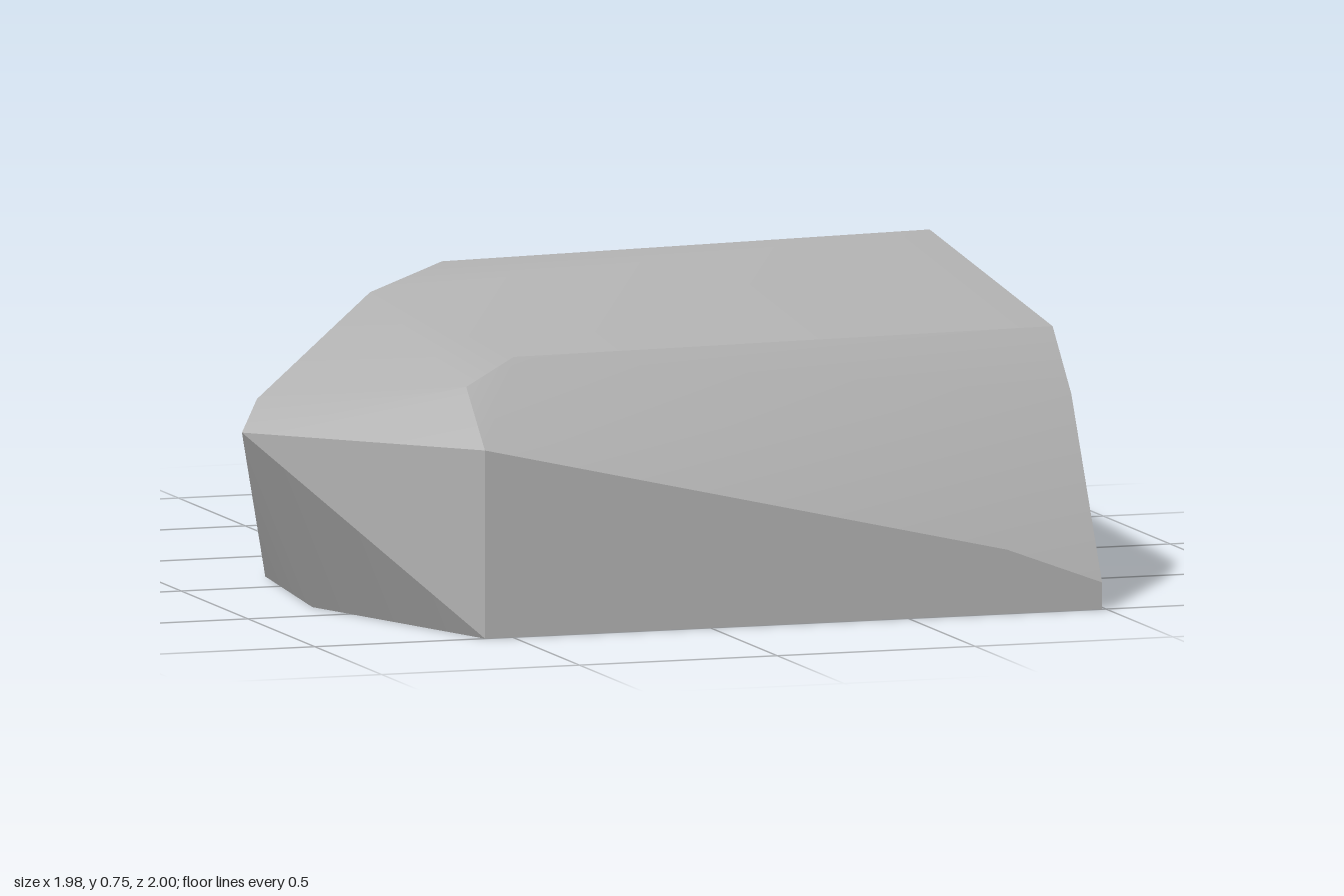
import * as THREE from 'three';
import { ConvexGeometry } from 'three/addons/geometries/ConvexGeometry.js';
import { toCreasedNormals } from 'three/addons/utils/BufferGeometryUtils.js';

export function createModel() {
  const group = new THREE.Group();
  group.name = 'rock';
  const stone = new THREE.MeshStandardMaterial({ color: 0xb0b0b0 });
  stone.name = 'grey stone';

  // Corners of the faceted boulder
  const corners = [
    // footprint, with the raised back corner
    [-0.57, 0, 1], [0.99, 0, 1], [0.99, 0.36, -1], [-0.25, 0, -1], [-0.73, 0, -0.17], [-0.79, 0, 0.36],
    // upper edge of the upright front face
    [-0.57, 0.455, 1], [0.75, 0.155, 1], [0.99, 0.065, 1],
    // upper edge of the front bevel
    [-0.57, 0.59, 0.86], [-0.43, 0.648, 0.8], [0.99, 0.635, 0.63], [0.99, 0.49, 0.77],
    // side tip
    [-0.99, 0.44, 0.425], [-0.93, 0.51, 0.36],
    // ridge and back edge
    [-0.57, 0.722, 0.14], [-0.29, 0.745, -0.15], [0.99, 0.745, -0.29], [0, 0.36, -1],
  ].map((p) => new THREE.Vector3(...p));

  // Shallow edges are smooth, steep ones stay sharp
  const geometry = toCreasedNormals(new ConvexGeometry(corners), THREE.MathUtils.degToRad(30));
  const boulder = new THREE.Mesh(geometry, stone);
  boulder.name = 'boulder';
  group.add(boulder);
  return group;
}
